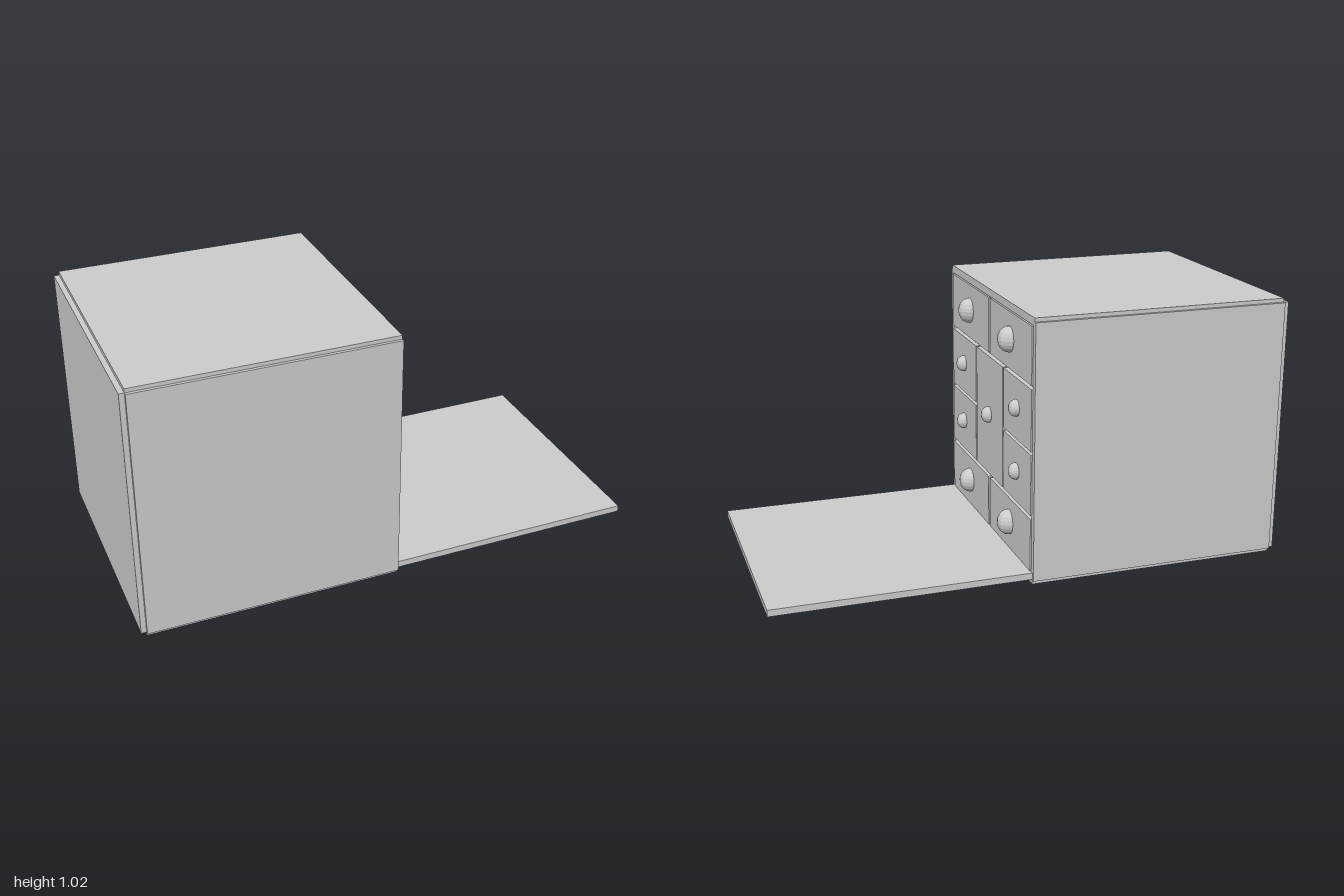
import * as THREE from 'three';

export function createModel() {
  const root = new THREE.Group();
  root.name = 'drawerCabinet';
  const material = new THREE.MeshStandardMaterial({ color: 0xcccccc });
  const knobMaterial = new THREE.MeshStandardMaterial({ color: 0xcccccc, flatShading: true });

  // Box given by its limits along each axis
  function slab(name, [x0, x1], [y0, y1], [z0, z1], parent = root) {
    const mesh = new THREE.Mesh(new THREE.BoxGeometry(x1 - x0, y1 - y0, z1 - z0), material);
    mesh.position.set((x0 + x1) / 2, (y0 + y1) / 2, (z0 + z1) / 2);
    mesh.name = name;
    parent.add(mesh);
  }

  // Case panels, with stepped joints along the outer edges
  slab('topPanel', [-0.98, 0.01], [0.99, 1.02], [-0.495, 0.495]);
  slab('bottomPanel', [-0.98, 0.01], [0.003, 0.043], [-0.495, 0.495]);
  slab('bottomSkin', [-0.98, 0.01], [0, 0.003], [-0.495, 0.495]);
  slab('backPanel', [-1, -0.975], [0.015, 1.005], [-0.495, 0.495]);
  slab('leftSide', [-0.98, 0.01], [0.015, 1.005], [0.483, 0.507]);
  slab('rightSide', [-0.98, 0.01], [0.015, 1.005], [-0.507, -0.483]);

  // Lowered door
  slab('door', [0.01, 1], [0.019, 0.045], [-0.495, 0.495]);

  // Dividers, set back behind the drawer fronts
  const depth = [-0.97, 0];
  slab('upperShelf', depth, [0.756, 0.764], [-0.483, 0.483]);
  slab('lowerShelf', depth, [0.257, 0.265], [-0.483, 0.483]);
  slab('upperDivider', depth, [0.764, 0.99], [-0.005, 0.005]);
  slab('lowerDivider', depth, [0.043, 0.257], [-0.005, 0.005]);
  for (const s of [-1, 1]) {
    slab('middleDivider', depth, [0.265, 0.756], [s * 0.165 - 0.004, s * 0.165 + 0.004]);
    const z = s > 0 ? [0.165, 0.483] : [-0.483, -0.165];
    slab('middleShelf', depth, [0.506, 0.514], z);
  }

  // Open-topped drawer box with an oval knob
  function drawer(name, z0, z1, y0, y1, knobSize) {
    const group = new THREE.Group();
    group.name = name;
    const t = 0.012;
    const run = [-0.95, 0];
    slab('drawerFront', [-0.006, 0.014], [y0, y1], [z0, z1], group);
    slab('drawerBack', [-0.96, -0.95], [y0, y1], [z0, z1], group);
    slab('drawerBottom', run, [y0, y0 + t], [z0, z1], group);
    slab('drawerSide', run, [y0 + t, y1], [z0, z0 + t], group);
    slab('drawerSide', run, [y0 + t, y1], [z1 - t, z1], group);
    const knob = new THREE.Mesh(new THREE.SphereGeometry(1, 12, 10), knobMaterial);
    knob.name = 'knob';
    knob.scale.set(knobSize, knobSize * 1.13, knobSize);
    knob.position.set(0.019, (y0 + y1) / 2 + 0.006, (z0 + z1) / 2);
    group.add(knob);
    root.add(group);
  }

  // Wide drawers above and below, small ones at the sides, a tall one between
  for (const s of [-1, 1]) {
    const pair = (name, a, b, y0, y1, size) =>
      drawer(name, Math.min(s * a, s * b), Math.max(s * a, s * b), y0, y1, size);
    pair('topDrawer', 0.008, 0.48, 0.768, 0.987, 0.044);
    pair('bottomDrawer', 0.008, 0.48, 0.047, 0.253, 0.044);
    pair('upperSmallDrawer', 0.17, 0.48, 0.516, 0.753, 0.029);
    pair('lowerSmallDrawer', 0.17, 0.48, 0.268, 0.504, 0.029);
  }
  drawer('tallDrawer', -0.16, 0.16, 0.268, 0.753, 0.029);

  return root;
}
